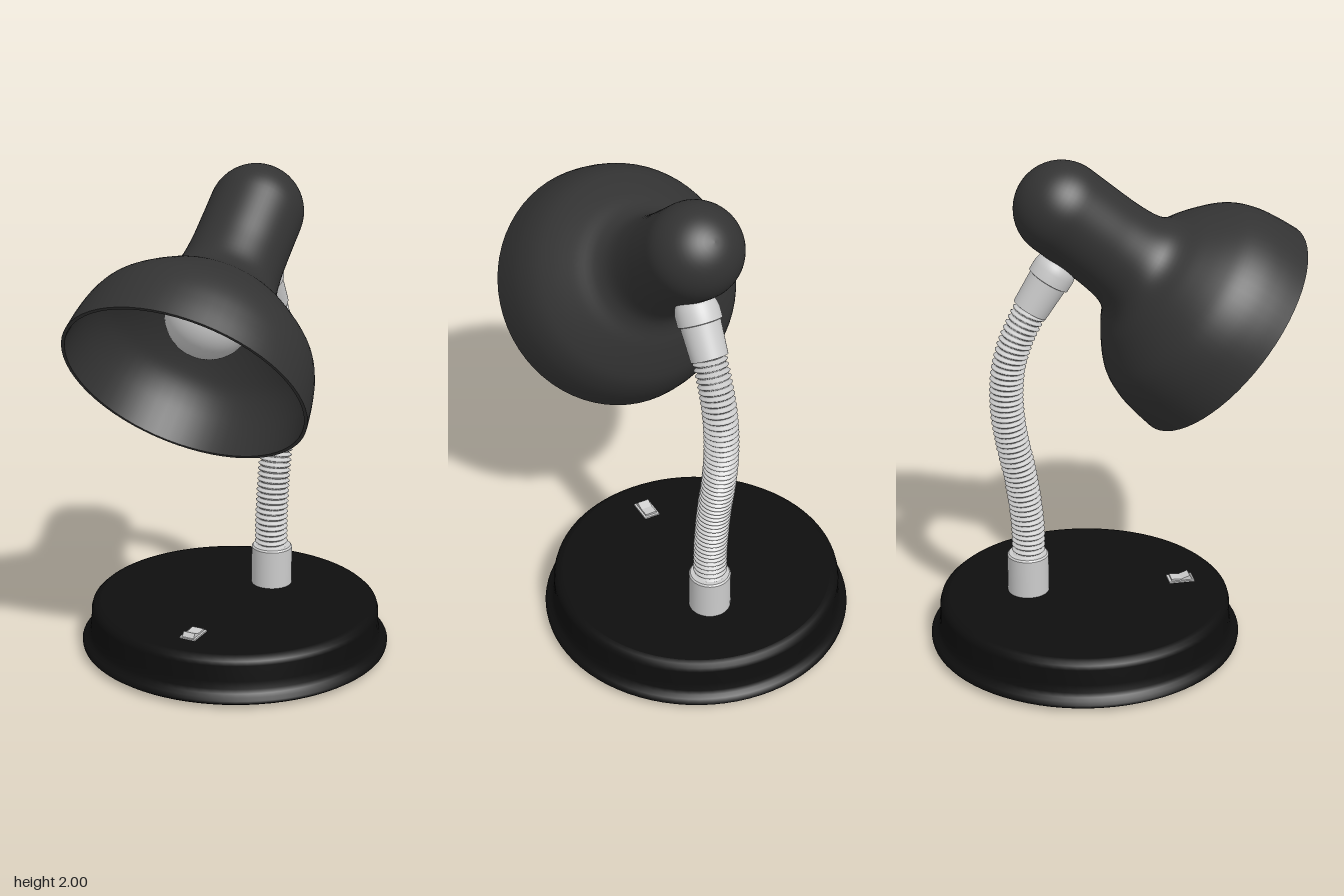
import * as THREE from 'three';

const V2 = (x, y) => new THREE.Vector2(x, y);
const V3 = (x, y, z) => new THREE.Vector3(x, y, z);
const UP = V3(0, 1, 0);

const grey = new THREE.MeshStandardMaterial({ color: 0xcccccc });
const shadeMat = new THREE.MeshStandardMaterial({ color: 0x333333 });
const baseMat = new THREE.MeshStandardMaterial({ color: 0x0e0e0e });

function add(parent, name, geometry, material, x = 0, y = 0, z = 0) {
  const mesh = new THREE.Mesh(geometry, material);
  mesh.name = name;
  mesh.position.set(x, y, z);
  parent.add(mesh);
  return mesh;
}

// Lathe from [radius, height] pairs; a repeated pair makes a sharp edge
const lathe = (pairs, segments = 48) =>
  new THREE.LatheGeometry(pairs.map(([r, h]) => V2(r, h)), segments);

// Tube whose radius swells and shrinks along the path
function ribbedTube(curve, ribs, inner, outer) {
  const steps = ribs * 6, sides = 24;
  const geo = new THREE.TubeGeometry(curve, steps, 1, sides);
  const pos = geo.attributes.position, p = V3(0, 0, 0);
  for (let i = 0; i <= steps; i++) {
    const centre = curve.getPointAt(i / steps);
    const wave = 0.5 - 0.5 * Math.cos((i / 6) * Math.PI * 2);
    const radius = inner + (outer - inner) * wave;
    for (let j = 0; j <= sides; j++) {
      const k = i * (sides + 1) + j;
      p.fromBufferAttribute(pos, k).sub(centre).multiplyScalar(radius).add(centre);
      pos.setXYZ(k, p.x, p.y, p.z);
    }
  }
  geo.computeVertexNormals();
  return geo;
}

// Bell-shaped shade with a domed end, a closed shell with inner and outer walls
function shadeGeometry() {
  const bell = new THREE.SplineCurve([
    V2(0.485, 0), V2(0.475, 0.085), V2(0.457, 0.17), V2(0.425, 0.245), V2(0.376, 0.305),
    V2(0.303, 0.373), V2(0.232, 0.43), V2(0.2, 0.49), V2(0.188, 0.59), V2(0.186, 0.7), V2(0.186, 0.831),
  ]).getPoints(44);
  for (let i = 1; i <= 14; i++) {
    const a = (i / 14) * Math.PI / 2;
    bell.push(V2(i === 14 ? 0 : 0.186 * Math.cos(a), 0.831 + 0.186 * Math.sin(a)));
  }
  const inside = bell.map((p) => V2(p.x * 0.972, p.y * 0.985)).reverse();
  const profile = [...inside, inside.at(-1).clone(), bell[0].clone(), ...bell];
  return new THREE.LatheGeometry(profile, 64);
}

export function createModel() {
  const lamp = new THREE.Group();
  lamp.name = 'deskLamp';

  // Round base with a flared foot
  add(lamp, 'base', lathe([
    [0, 0.005], [0.56, 0.005], [0.56, 0.005], [0.615, 0.013], [0.628, 0.022], [0.63, 0.034],
    [0.618, 0.044], [0.604, 0.054], [0.597, 0.07], [0.592, 0.1], [0.59, 0.165], [0.585, 0.182],
    [0.572, 0.194], [0.555, 0.198], [0.555, 0.198], [0, 0.198],
  ], 80), baseMat, 0, 0, -0.125);
  add(lamp, 'basePad', new THREE.CylinderGeometry(0.55, 0.55, 0.01, 64), baseMat, 0, 0.005, -0.125);

  // Rocker switch near the front of the base
  const rocker = new THREE.Shape([
    V2(-0.042, 0), V2(0.05, 0), V2(0.034, 0.024), V2(0.0, 0.012), V2(-0.042, 0.014),
  ]);
  const rockerGeo = new THREE.ExtrudeGeometry(rocker, { depth: 0.05, bevelEnabled: false });
  rockerGeo.translate(0, 0, -0.025).rotateY(-Math.PI / 2);
  add(lamp, 'switchRocker', rockerGeo, grey, 0.02, 0.198, 0.28);
  add(lamp, 'switchFrame', new THREE.BoxGeometry(0.068, 0.01, 0.105), grey, 0.02, 0.199, 0.28);

  // Lower socket
  add(lamp, 'lowerSocket', lathe([
    [0, 0.19], [0.084, 0.19], [0.084, 0.19], [0.084, 0.358], [0.084, 0.358], [0.078, 0.365], [0.078, 0.365], [0, 0.365],
  ]), grey, 0.06, 0, -0.348);

  // Flexible ribbed neck
  const neckPath = new THREE.CatmullRomCurve3([
    [0.35, -0.346], [0.48, -0.346], [0.6, -0.357], [0.72, -0.374], [0.85, -0.4], [0.98, -0.419],
    [1.1, -0.421], [1.2, -0.408], [1.3, -0.376], [1.43, -0.313],
  ].map(([y, z]) => V3(0.058, y, z)));
  add(lamp, 'neck', ribbedTube(neckPath, 50, 0.053, 0.068), grey);

  // Upper socket with a collar running into the shade
  const upper = add(lamp, 'upperSocket', lathe([
    [0, 0], [0.072, 0], [0.072, 0], [0.078, 0.135], [0.078, 0.135], [0.086, 0.138], [0.086, 0.138],
    [0.086, 0.18], [0.08, 0.205], [0.06, 0.25], [0, 0.25],
  ]), grey, 0.058, 1.413, -0.323);
  upper.quaternion.setFromUnitVectors(UP, V3(0, 0.167, 0.106).normalize());

  // Tilted head: local y runs from the rim to the domed end
  const head = new THREE.Group();
  head.name = 'head';
  head.position.set(0.07, 1.2825, 0.445);
  head.quaternion.setFromUnitVectors(UP, V3(-0.0165, 0.53, -0.64).normalize());
  lamp.add(head);
  add(head, 'shade', shadeGeometry(), shadeMat);
  add(head, 'bulb', new THREE.SphereGeometry(0.17, 40, 28), grey, -0.015, 0.325, 0);
  add(head, 'bulbNeck', new THREE.CylinderGeometry(0.07, 0.11, 0.2, 32), grey, -0.012, 0.55, 0);
  add(head, 'bulbHolder', new THREE.CylinderGeometry(0.09, 0.09, 0.32, 32), grey, -0.006, 0.79, 0);

  return lamp;
}
